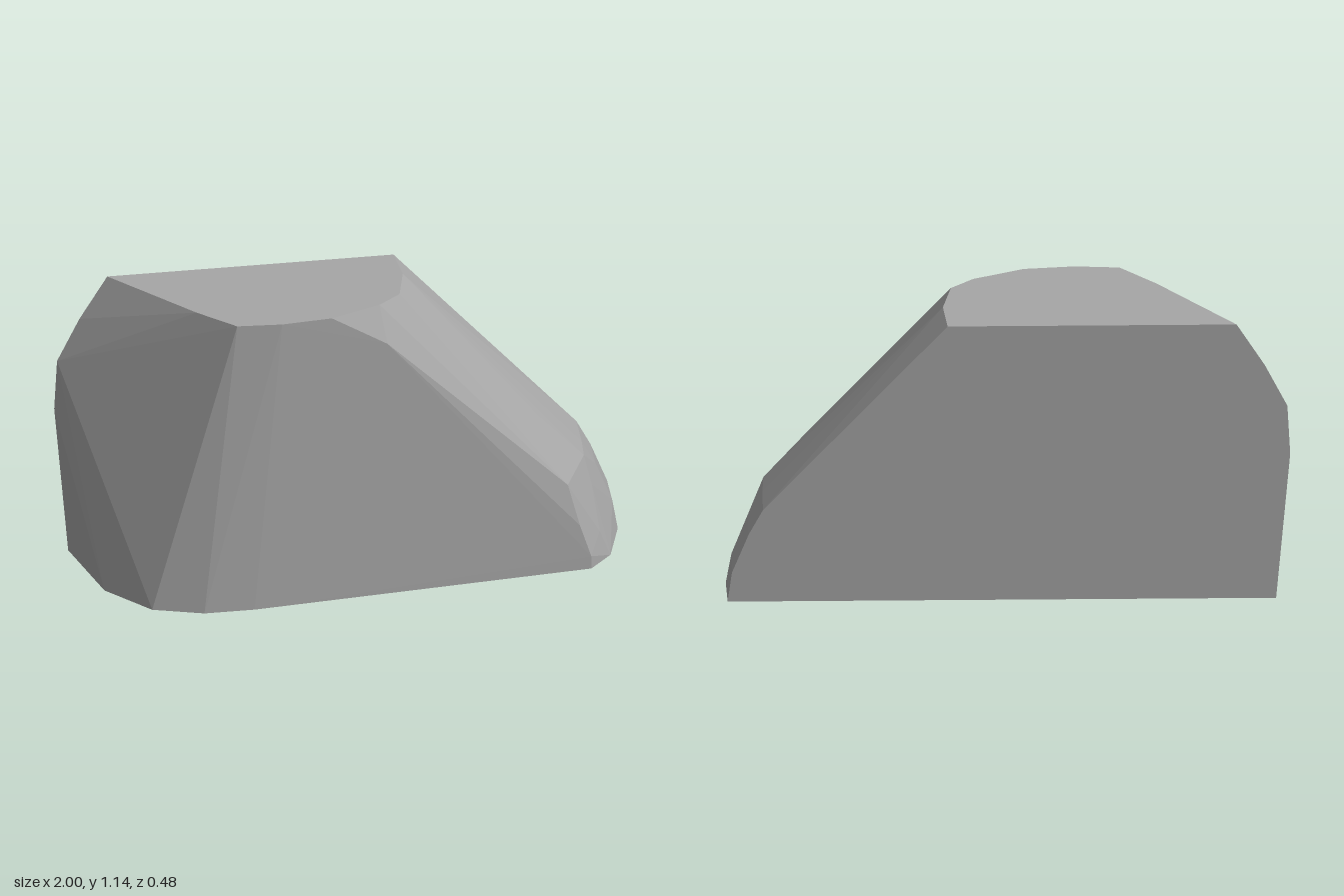
import * as THREE from 'three';
import { ConvexGeometry } from 'three/addons/geometries/ConvexGeometry.js';

export function createModel() {
  const group = new THREE.Group();
  group.name = 'rock';
  const stone = new THREE.MeshStandardMaterial({ color: 0xa6a6a6 });
  stone.name = 'greyStone';
  stone.flatShading = true;

  // Outlines of the boulder, each point [x, y, z]
  const base = [
    [-0.95, 0, -0.24], [-0.86, 0, 0.04], [-0.71, 0, 0.19], [-0.53, 0, 0.24], [-0.35, 0, 0.24],
    [0.87, 0, 0.14], [0.95, 0, 0.06], [1, 0, -0.11], [0.995, 0, -0.24],
  ];
  const top = [
    [-0.81, 1.14, -0.24], [-0.53, 1.14, 0.04], [-0.4, 1.14, 0.15], [-0.24, 1.14, 0.16], [-0.06, 1.14, 0.145],
    [0.12, 1.14, 0.08], [0.2, 1.14, 0.02], [0.23, 1.14, -0.11], [0.215, 1.14, -0.24],
  ];
  // Flat back edge on the steep side
  const backEdge = [[-1, 0.6, -0.24], [-0.99, 0.8, -0.24], [-0.91, 0.97, -0.24]];
  // Rounded nose and bevel of the long slope
  const nose = [
    [0.87, 0.38, -0.24], [0.87, 0.38, -0.11], [0.865, 0.38, -0.015],
    [0.92, 0.28, -0.24], [0.92, 0.28, -0.11], [0.89, 0.27, 0.01],
    [0.98, 0.12, -0.24], [0.98, 0.12, -0.11], [0.91, 0.11, 0.07],
    [0.87, 0.05, 0.138], [0.83, 0.18, 0.132], [0.79, 0.34, 0.11],
    [0.7, 0.57, 0], [0.235, 1.1, 0.02], [0.14, 1.01, 0.137],
  ];
  const points = [...base, ...top, ...backEdge, ...nose].map((p) => new THREE.Vector3(...p));
  const boulder = new THREE.Mesh(new ConvexGeometry(points), stone);
  boulder.name = 'boulder';
  group.add(boulder);
  return group;
}
